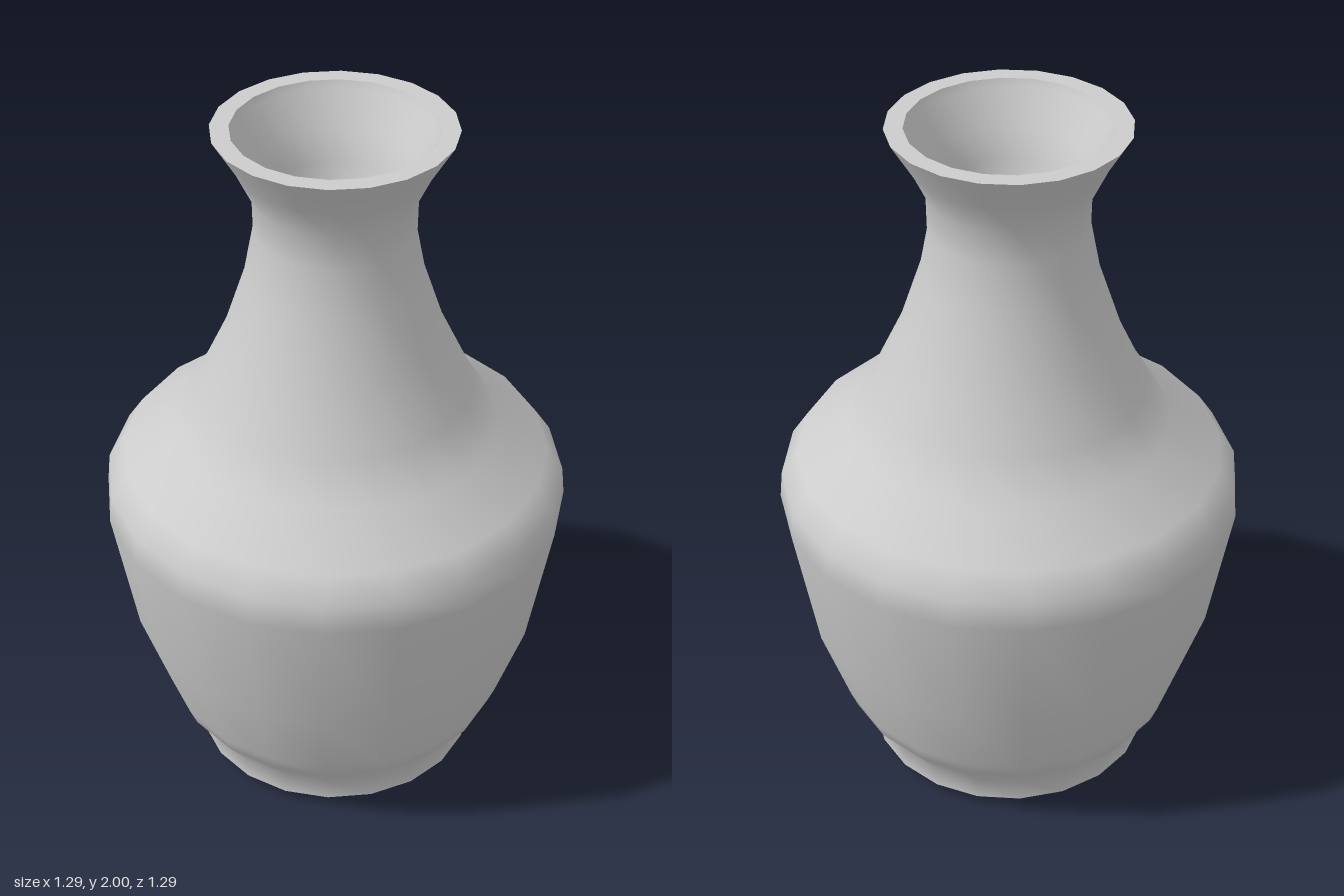
import * as THREE from 'three';

const SIDES = 20;

// Each profile runs underside -> outer wall -> rim -> inside; separate lathes keep hard edges.
const profiles = {
  base: [[0, 0], [0.37, 0]],
  footBevel: [[0.37, 0], [0.405, 0.035]],
  body: [
    [0.405, 0.035], [0.405, 0.1], [0.48, 0.2], [0.5, 0.25], [0.58, 0.49],
    [0.645, 0.87], [0.637, 0.95], [0.59, 1.02], [0.45, 1.12],
    [0.38, 1.23], [0.3, 1.4], [0.24, 1.58], [0.215, 1.71],
    [0.217, 1.81], [0.26, 1.9], [0.32, 2],
  ],
  rim: [[0.32, 2], [0.27, 2]],
  mouthInside: [
    [0.27, 2], [0.262, 1.98], [0.21, 1.89], [0.175, 1.81], [0.165, 1.74],
    [0.12, 1.67], [0.06, 1.635], [0, 1.625],
  ],
};

export function createModel() {
  const vase = new THREE.Group();
  vase.name = 'vase';
  const material = new THREE.MeshStandardMaterial({ color: 0xcccccc });

  for (const [name, points] of Object.entries(profiles)) {
    const profile = points.map(([r, y]) => new THREE.Vector2(r, y));
    const mesh = new THREE.Mesh(new THREE.LatheGeometry(profile, SIDES), material);
    mesh.name = name;
    vase.add(mesh);
  }
  return vase;
}
